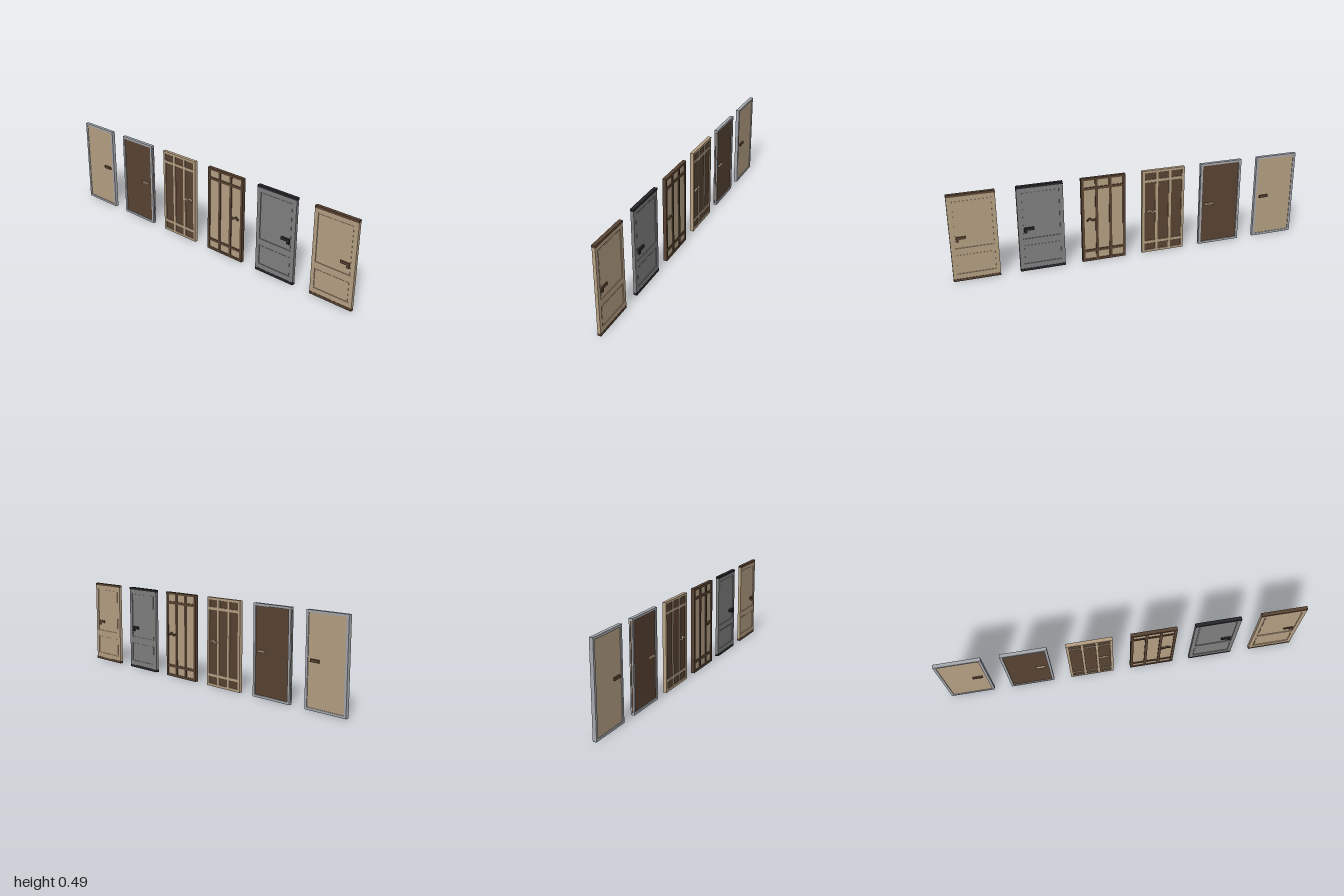
import * as THREE from 'three';

const H = 0.492, W = 0.25;
const mat = (c) => new THREE.MeshStandardMaterial({ color: c });
const TAN = mat(0xb8a285), BROWN = mat(0x5a4433), GREY = mat(0x828282), BLACK = mat(0x27272b), STEEL = mat(0xa6a9ae);

// Box given by its thickness (x), and its y and z ranges
function slab(group, name, material, t, y0, y1, z0, z1, x = 0) {
  const mesh = new THREE.Mesh(new THREE.BoxGeometry(t, y1 - y0, z1 - z0), material);
  mesh.position.set(x, (y0 + y1) / 2, (z0 + z1) / 2);
  mesh.name = name;
  group.add(mesh);
  return mesh;
}

// Rectangle path in (z, y)
function rect(PathClass, z0, z1, y0, y1) {
  const p = new PathClass();
  p.moveTo(z0, y0);
  p.lineTo(z1, y0);
  p.lineTo(z1, y1);
  p.lineTo(z0, y1);
  p.closePath();
  return p;
}

// Flat frame of thickness t with rectangular openings [z0, z1, y0, y1]
function frame(group, name, material, t, y0, y1, openings, x = 0) {
  const shape = rect(THREE.Shape, -W / 2, W / 2, y0, y1);
  for (const o of openings) shape.holes.push(rect(THREE.Path, ...o));
  const geo = new THREE.ExtrudeGeometry(shape, { depth: t, bevelEnabled: false });
  geo.translate(0, 0, -t / 2).rotateY(-Math.PI / 2);
  const mesh = new THREE.Mesh(geo, material);
  mesh.position.x = x;
  mesh.name = name;
  group.add(mesh);
}

// Straight lever, seen on both faces
function barHandle(g, material, t, y0 = 0.24, y1 = 0.255) {
  slab(g, 'handleLever', material, t, y0, y1, 0.041, 0.094);
}

// Lever with a short drop at the outer end
function hookHandle(g, material, t) {
  barHandle(g, material, t);
  slab(g, 'handleDrop', material, t, 0.226, 0.24, 0.078, 0.094);
}

// Wavy lever made of three slanted pieces
function waveHandle(g, material) {
  const pts = [[0.096, 0.245], [0.08, 0.256], [0.062, 0.243], [0.044, 0.251]];
  for (let i = 0; i < 3; i++) {
    const [za, ya] = pts[i], [zb, yb] = pts[i + 1];
    const len = Math.hypot(zb - za, yb - ya) + 0.003;
    const m = slab(g, 'handleWave', material, 0.029, (ya + yb) / 2 - 0.0045, (ya + yb) / 2 + 0.0045,
      (za + zb - len) / 2, (za + zb + len) / 2);
    m.rotation.x = -Math.atan2(yb - ya, zb - za);
  }
}

// Door with two recessed panels and rails at top and bottom
function panelDoor(body, trim, handleThickness) {
  const g = new THREE.Group();
  const upper = [-0.103, 0.103, 0.19, 0.458], lower = [-0.103, 0.103, 0.042, 0.155];
  frame(g, 'doorBody', body, 0.017, 0.014, 0.479, [upper, lower]);
  for (const [z0, z1, y0, y1] of [upper, lower]) {
    slab(g, 'panelRecess', body, 0.009, y0, y1, z0, z1);
    slab(g, 'raisedPanel', body, 0.012, y0 + 0.006, y1 - 0.006, z0 + 0.006, z1 - 0.006);
  }
  slab(g, 'bottomRail', trim, 0.02, 0, 0.014, -W / 2, W / 2);
  slab(g, 'topRail', trim, 0.02, 0.479, H, -W / 2, W / 2);
  hookHandle(g, trim, handleThickness);
  return g;
}

// Lattice door with a three by three grid of openings
function latticeDoor(lattice, core) {
  const g = new THREE.Group();
  const openings = [];
  const b = 0.015, col = (W - 4 * b) / 3;
  for (let i = 0; i < 3; i++) {
    const z0 = -W / 2 + b + i * (col + b);
    for (const [y0, y1] of [[0.014, 0.055], [0.07, 0.424], [0.439, 0.479]]) openings.push([z0, z0 + col, y0, y1]);
  }
  frame(g, 'lattice', lattice, 0.02, 0, H, openings);
  slab(g, 'infill', core, 0.011, 0.004, H - 0.004, -W / 2 + 0.004, W / 2 - 0.004);
  waveHandle(g, lattice);
  return g;
}

// Flush panel in a metal surround; split leaves the panel visible at the side edges
function framedDoor(panel, handle, split) {
  const g = new THREE.Group();
  const e = 0.014, opening = [[-W / 2 + e, W / 2 - e, 0.013, H - 0.013]];
  if (split) {
    for (const s of [-1, 1]) frame(g, 'surround', STEEL, 0.006, 0, H, opening, s * 0.007);
    slab(g, 'surroundTop', STEEL, 0.008, H - 0.013, H, -W / 2, W / 2);
    slab(g, 'surroundBottom', STEEL, 0.008, 0, 0.013, -W / 2, W / 2);
    slab(g, 'panel', panel, 0.01, 0.012, H - 0.012, -W / 2 + 0.003, W / 2 - 0.003);
    barHandle(g, handle, 0.03, 0.241, 0.251);
  } else {
    frame(g, 'surround', STEEL, 0.02, 0, H, opening);
    slab(g, 'panel', panel, 0.013, 0.012, H - 0.012, -W / 2 + 0.012, W / 2 - 0.012);
    barHandle(g, handle, 0.03);
  }
  return g;
}

export function createModel() {
  const model = new THREE.Group();
  model.name = 'doorSet';
  const doors = [
    ['tanPanelDoor', panelDoor(TAN, BROWN, 0.023), 0.875],
    ['greyPanelDoor', panelDoor(GREY, BLACK, 0.032), 0.517],
    ['darkLatticeDoor', latticeDoor(BROWN, TAN), 0.169],
    ['lightLatticeDoor', latticeDoor(TAN, BROWN), -0.179],
    ['darkFramedDoor', framedDoor(BROWN, TAN, true), -0.527],
    ['lightFramedDoor', framedDoor(TAN, BROWN, false), -0.875],
  ];
  for (const [name, door, z] of doors) {
    door.name = name;
    door.position.z = z;
    model.add(door);
  }
  return model;
}
